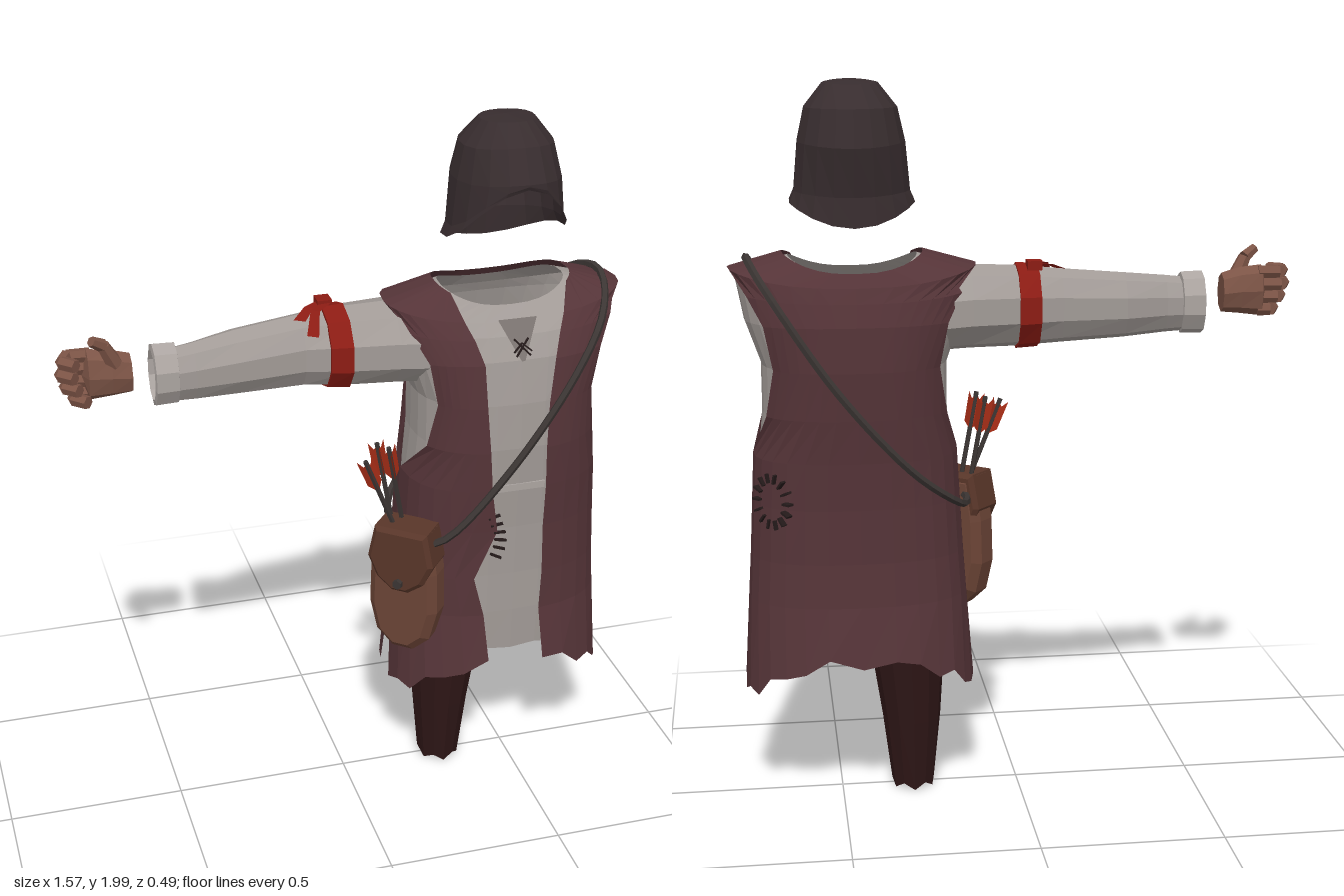
import * as THREE from 'three';

const CX = 0.445; // body centre line
const V = (x, y, z) => new THREE.Vector3(x, y, z);
const mat = (color) => new THREE.MeshStandardMaterial({ color, flatShading: true, side: THREE.DoubleSide });
const M = {
  vest: mat(0x55343a), shirt: mat(0xa29b97), cuff: mat(0xaca5a1), seam: mat(0x7b7470), hood: mat(0x382d2f),
  trousers: mat(0x2e1616), red: mat(0x8c1c14), leather: mat(0x6b4436), flap: mat(0x593629),
  skin: mat(0x7c5446), strap: mat(0x3b3533), feather: mat(0xa32c16), stitch: mat(0x241a1a),
};
M.vest.color.set(0x553438);

function mesh(parent, name, geometry, material) {
  const m = new THREE.Mesh(geometry, material);
  m.name = name;
  parent.add(m);
  return m;
}

// Skin over rows of points
function loft(rows, closed = false) {
  const n = rows[0].length, index = [];
  const pos = rows.flat().flatMap((p) => [p.x, p.y, p.z]);
  for (let r = 0; r < rows.length - 1; r++) {
    for (let c = 0; c < (closed ? n : n - 1); c++) {
      const a = r * n + c, b = r * n + (c + 1) % n;
      index.push(a, b, b + n, a, b + n, a + n);
    }
  }
  const g = new THREE.BufferGeometry();
  g.setAttribute('position', new THREE.Float32BufferAttribute(pos, 3));
  g.setIndex(index);
  g.computeVertexNormals();
  return g;
}

const ring = (n, f) => Array.from({ length: n }, (_, i) => f((i / n) * Math.PI * 2, i));

// Tapered rod between two points
function rod(parent, name, a, b, r0, r1, material, sides = 6) {
  const d = b.clone().sub(a);
  const m = mesh(parent, name, new THREE.CylinderGeometry(r1, r0, d.length(), sides), material);
  m.position.copy(a).add(b).multiplyScalar(0.5);
  m.quaternion.setFromUnitVectors(V(0, 1, 0), d.normalize());
  return m;
}

// Body rings: y, side lift, half width, front z, back z, right and left edge of opening, armhole half angle
const BODY = [
  [0.45, -0.12, 0.32, 0.24, -0.23, 0.085, 0.08, 6],
  [0.60, 0, 0.303, 0.212, -0.20, 0.075, 0.09, 0],
  [0.72, 0, 0.295, 0.21, -0.19, 0.08, 0.12, 0],
  [0.87, 0, 0.287, 0.212, -0.19, 0.075, 0.06, 0],
  [1.00, 0, 0.28, 0.22, -0.197, 0.075, 0.08, 0],
  [1.12, 0, 0.268, 0.225, -0.21, 0.07, 0.09, 28],
  [1.25, 0, 0.268, 0.217, -0.22, 0.075, 0.10, 38],
  [1.37, 0, 0.31, 0.195, -0.216, 0.095, 0.105, 42],
  [1.43, 0.02, 0.325, 0.165, -0.20, 0.115, 0.125, 32],
  [1.47, 0.04, 0.335, 0.135, -0.185, 0.135, 0.145, 0],
  [1.505, 0.045, 0.19, 0.10, -0.16, 0.165, 0.165, 0],
];

function bodyPoint([y, lift, w, zf, zb], a, inset = 0) {
  const s = Math.sin(a), c = Math.cos(a);
  return V(
    CX + (w - inset) * Math.sign(s) * Math.abs(s) ** 0.8,
    y + lift * s * s,
    (c > 0 ? zf - inset : -(zb + inset)) * Math.sign(c) * Math.abs(c) ** 0.8,
  );
}

function buildVest(root) {
  const vest = new THREE.Group();
  vest.name = 'vest';
  root.add(vest);
  const half = Math.PI / 2, edge = (e, w) => Math.asin((e / w) ** 1.25);
  const panels = {
    leftFrontPanel: [(r) => edge(r[5], r[2]), (r, h) => half - h, 6],
    backPanel: [(r, h) => half + h, (r, h) => 3 * half - h, 14],
    rightFrontPanel: [(r, h) => 3 * half + h, (r) => 4 * half - edge(r[6], r[2]), 6],
  };
  for (const [name, [from, to, n]] of Object.entries(panels)) {
    const rows = BODY.map((r, k) => {
      const h = THREE.MathUtils.degToRad(r[7]);
      return Array.from({ length: n + 1 }, (_, i) => {
        const p = bodyPoint(r, THREE.MathUtils.lerp(from(r, h), to(r, h), i / n));
        if (k === 0) p.y += 0.018 * Math.sin(i * 2.4); // worn hem
        return p;
      });
    });
    mesh(vest, name, loft(rows), M.vest);
  }
}

function buildShirt(root) {
  const rows = [[0.47, 0, 0.29, 0.21, -0.2], ...BODY.slice(1)].map((r, k, all) => ring(32, (a, i) => {
    const p = bodyPoint(r, a, 0.016);
    if (k === 0) p.y += 0.008 * Math.sin(i * 2.1);
    if (k > all.length - 3) p.y -= 0.01;
    return p;
  }));
  mesh(root, 'shirt', loft(rows, true), M.shirt);
  mesh(root, 'neckOpening', loft([[V(0.39, 1.475, 0.136), V(0.5, 1.475, 0.136)], [V(0.44, 1.375, 0.196), V(0.45, 1.375, 0.196)]]), M.seam);
  for (const s of [-1, 1]) {
    rod(root, 'lace', V(CX - s * 0.02, 1.43, 0.17), V(CX + s * 0.02, 1.39, 0.196), 0.003, 0.003, M.stitch, 4);
    rod(root, 'lace', V(CX, 1.42, 0.178), V(CX + s * 0.025, 1.4, 0.19), 0.003, 0.003, M.stitch, 4);
  }
  mesh(root, 'waistSeam', new THREE.BoxGeometry(0.15, 0.02, 0.01), M.cuff).position.set(CX, 1.0, 0.202);
}

// Ring around the arm axis
const armRing = (x, y, z, ry, rz, n = 10) => ring(n, (a) => V(x, y + ry * Math.cos(a), z + rz * Math.sin(a)));

function buildArm(root) {
  mesh(root, 'sleeve', loft([
    armRing(0.22, 1.385, -0.01, 0.115, 0.14), armRing(0.13, 1.39, -0.01, 0.115, 0.13),
    armRing(0, 1.39, -0.012, 0.112, 0.112), armRing(-0.12, 1.388, -0.015, 0.102, 0.085),
    armRing(-0.3, 1.383, 0.002, 0.09, 0.08), armRing(-0.42, 1.38, 0.025, 0.08, 0.063),
    armRing(-0.48, 1.378, 0.03, 0.075, 0.058),
  ], true), M.shirt);
  mesh(root, 'cuff', loft([
    armRing(-0.465, 1.382, 0.027, 0.07, 0.055), armRing(-0.467, 1.382, 0.027, 0.086, 0.064),
    armRing(-0.527, 1.382, 0.027, 0.088, 0.066), armRing(-0.53, 1.382, 0.027, 0.072, 0.054),
    armRing(-0.47, 1.382, 0.027, 0.068, 0.05),
  ], true), M.cuff);

  // Armband with two loose tails
  mesh(root, 'armband', loft([
    armRing(0.002, 1.39, -0.012, 0.108, 0.108), armRing(0.002, 1.39, -0.012, 0.119, 0.119),
    armRing(-0.057, 1.39, -0.013, 0.115, 0.108), armRing(-0.057, 1.39, -0.013, 0.1, 0.095),
  ], true), M.red);
  mesh(root, 'armbandKnot', new THREE.BoxGeometry(0.04, 0.025, 0.045), M.red).position.set(-0.045, 1.505, -0.045);
  const tails = [
    [V(-0.04, 1.51, -0.06), V(-0.1, 1.503, -0.03), V(-0.14, 1.485, 0.01)],
    [V(-0.04, 1.51, -0.04), V(-0.09, 1.505, 0.0), V(-0.115, 1.455, 0.055)],
  ];
  for (const t of tails) {
    mesh(root, 'armbandTail', loft([0, 1].map((k) => t.map((p, i) => p.clone().add(V(k * (0.012 + i * 0.008), 0, k * 0.018))))), M.red);
  }
}

function buildHand(root) {
  const hand = new THREE.Group();
  hand.name = 'hand';
  root.add(hand);
  mesh(hand, 'palm', loft([
    armRing(-0.588, 1.405, 0.045, 0.001, 0.001, 8), armRing(-0.588, 1.405, 0.045, 0.055, 0.042, 8),
    armRing(-0.64, 1.41, 0.045, 0.065, 0.042, 8), armRing(-0.7, 1.41, 0.04, 0.072, 0.036, 8),
    armRing(-0.715, 1.41, 0.04, 0.001, 0.001, 8),
  ], true), M.skin);
  for (let i = 0; i < 4; i++) {
    const y = 1.357 + i * 0.035, reach = [0.03, 0.01, 0, 0.005][i];
    const path = [V(-0.69, y, 0.032), V(-0.755 + reach, y, 0.028), V(-0.772 + reach, y, 0.065), V(-0.74 + reach, y, 0.098)];
    for (let k = 0; k < 3; k++) rod(hand, 'finger', path[k], path[k + 1], 0.019, 0.018, M.skin);
  }
  const thumb = [V(-0.63, 1.44, 0.06), V(-0.66, 1.5, 0.072), V(-0.692, 1.522, 0.088)];
  for (let k = 0; k < 2; k++) rod(hand, 'thumb', thumb[k], thumb[k + 1], 0.024 - k * 0.006, 0.018 - k * 0.004, M.skin);
}

function buildHood(root) {
  // half width, front z, back z, then front, side and back heights
  const rows = [
    [0.001, 0.01, 0.008, 2, 2, 2], [0.075, 0.085, -0.07, 2, 1.993, 1.99], [0.125, 0.145, -0.135, 1.95, 1.93, 1.93],
    [0.145, 0.19, -0.16, 1.865, 1.84, 1.83], [0.157, 0.19, -0.125, 1.86, 1.71, 1.7], [0.17, 0.185, -0.13, 1.85, 1.68, 1.62],
  ].map(([w, zf, zb, yf, ys, yb]) => ring(18, (a) => {
    const c = Math.cos(a);
    return V(CX - 0.003 + w * Math.sin(a), ys + ((c > 0 ? yf : yb) - ys) * c * c, c > 0 ? zf * c : -zb * c);
  }));
  mesh(root, 'hood', loft(rows, true), M.hood);
}

function buildLeg(root) {
  const rows = [[0.85, 0.33, 0.11, 0.125], [0.45, 0.31, 0.107, 0.115], [0.22, 0.3, 0.082, 0.092], [0.02, 0.298, 0.06, 0.068]]
    .map(([y, x, rx, rz], k) => ring(12, (a, i) => V(x + rx * Math.sin(a), y + (k === 3 ? (i % 2) * 0.018 - 0.01 : 0), -0.003 + rz * Math.cos(a))));
  mesh(root, 'trouserLeg', loft(rows, true), M.trousers);
}

function buildBag(root) {
  const strapPath = new THREE.CatmullRomCurve3([
    V(0.23, 0.87, 0.215), V(0.4, 1.06, 0.235), V(0.6, 1.33, 0.205), V(0.695, 1.465, 0.13), V(0.73, 1.535, 0.0), V(0.68, 1.465, -0.175),
    V(0.5, 1.2, -0.233), V(0.3, 0.97, -0.197), V(0.165, 0.86, -0.1), V(0.135, 0.84, 0.05), V(0.17, 0.84, 0.17),
  ], true);
  mesh(root, 'strap', new THREE.TubeGeometry(strapPath, 56, 0.011, 5, true), M.strap);

  const bag = new THREE.Group();
  bag.name = 'bag';
  bag.position.set(0.15, 0, 0.135);
  bag.rotation.y = -0.7;
  root.add(bag);
  const outline = (pts) => new THREE.Shape([...pts, ...pts.slice().reverse().map(([x, y]) => [-x, y])].map(([x, y]) => new THREE.Vector2(x, y)));
  const slab = (pts, depth, bevel) => new THREE.ExtrudeGeometry(outline(pts), { depth, bevelSize: bevel, bevelThickness: bevel, bevelSegments: 1 }).translate(0, 0, -depth / 2);
  mesh(bag, 'pouch', slab([[0.022, 0.525], [0.06, 0.56], [0.08, 0.64], [0.077, 0.76], [0.06, 0.87]], 0.055, 0.022), M.leather);
  const flap = mesh(bag, 'flap', slab([[0.02, 0.715], [0.06, 0.745], [0.085, 0.8], [0.068, 0.885]], 0.09, 0.012), M.flap);
  flap.position.z = 0.01;
  mesh(bag, 'button', new THREE.CylinderGeometry(0.014, 0.014, 0.015, 6).rotateX(Math.PI / 2), M.strap).position.set(0, 0.735, 0.073);

  // Arrows standing in the bag
  const arrows = [[V(0.13, 0.84, 0.12), V(0.025, 1.1, 0.13)], [V(0.125, 0.84, 0.08), V(0.075, 1.12, 0.07)], [V(0.15, 0.84, 0.1), V(0.095, 1.125, 0.115)]];
  const vane = new THREE.Shape([[0, -0.06], [0.024, -0.035], [0.026, 0.05], [0.012, 0.03], [0, 0.04]].map(([x, y]) => new THREE.Vector2(x, y)));
  for (const [a, b] of arrows) {
    const shaft = rod(root, 'arrow', a, b, 0.007, 0.007, M.strap, 5);
    for (let i = 0; i < 3; i++) {
      const f = mesh(shaft, 'fletching', new THREE.ShapeGeometry(vane), M.feather);
      f.position.y = a.distanceTo(b) / 2 - 0.05;
      f.rotation.y = i * Math.PI * 2 / 3 + 0.5;
    }
  }
}

function buildStitches(root) {
  for (let i = 0; i < 6; i++) {
    const s = mesh(root, 'stitch', new THREE.BoxGeometry(0.035, 0.006, 0.008), M.stitch);
    s.position.set(0.385 + 0.012 * Math.sin(i * 0.8), 0.79 + i * 0.025, 0.206);
    s.rotation.z = -0.5 + i * 0.15;
  }
  // Round stitched repair on the left back
  const patch = new THREE.Group();
  patch.name = 'patch';
  patch.position.set(0.681, 0.89, -0.135);
  patch.lookAt(1.381, 0.89, -0.835);
  root.add(patch);
  for (let i = 0; i < 14; i++) {
    const a = (i / 14) * Math.PI * 2;
    const s = mesh(patch, 'stitch', new THREE.BoxGeometry(0.026, 0.006, 0.02), M.stitch);
    s.position.set(0.055 * Math.cos(a), 0.065 * Math.sin(a), -0.005);
    s.rotation.z = a;
  }
}

export function createModel() {
  const root = new THREE.Group();
  root.name = 'ragged outfit';
  for (const build of [buildVest, buildShirt, buildArm, buildHand, buildHood, buildLeg, buildBag, buildStitches]) build(root);
  return root;
}
